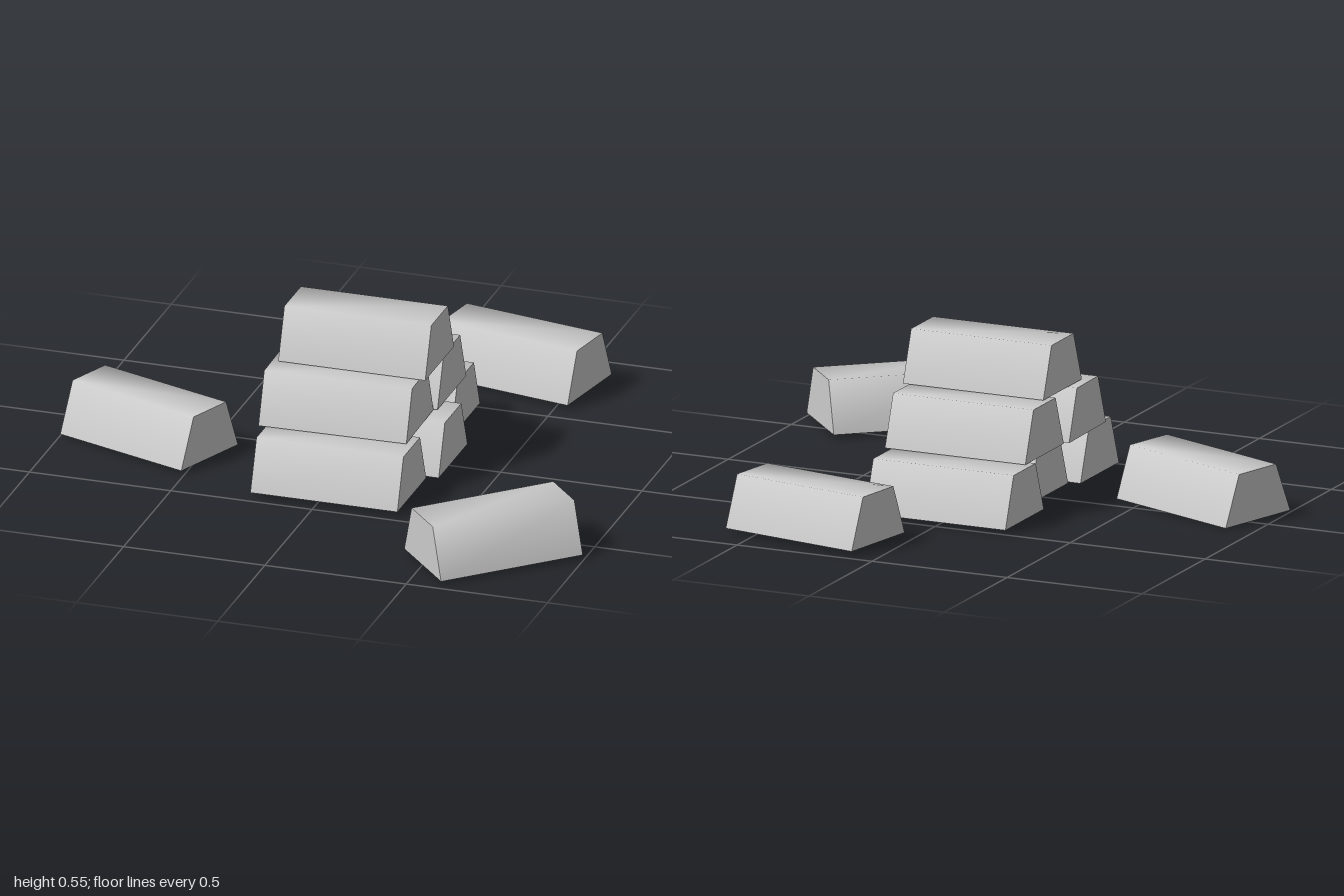
import * as THREE from 'three';
import { toCreasedNormals } from 'three/addons/utils/BufferGeometryUtils.js';

const LENGTH = 0.52, BASE = 0.305, TOP = 0.175, HEIGHT = 0.175;

// Trapezoid prism lying along x, resting on y = 0; soft upper edges, crisp ends and base
function barGeometry() {
  const profile = new THREE.Shape([
    new THREE.Vector2(-BASE / 2, 0),
    new THREE.Vector2(BASE / 2, 0),
    new THREE.Vector2(TOP / 2, HEIGHT),
    new THREE.Vector2(-TOP / 2, HEIGHT),
  ]);
  const geometry = new THREE.ExtrudeGeometry(profile, { depth: LENGTH, bevelEnabled: false });
  geometry.translate(0, 0, -LENGTH / 2).rotateY(Math.PI / 2);
  return toCreasedNormals(geometry, 1.3);
}

// name, base centre [x, y, z], yaw, tilt about the bar's own x and z
const BARS = [
  ['bottomBarFront', [0.03, 0.02, 0.313]],
  ['bottomBarMiddle', [0.07, 0.02, -0.005]],
  ['bottomBarBack', [0, 0.02, -0.347]],
  ['middleBarFront', [0.005, 0.2, 0.157], 0.02],
  ['middleBarBack', [0.015, 0.2, -0.157]],
  ['topBar', [0.03, 0.38, 0.018]],
  ['looseBarLeft', [-0.703, 0.01, 0.122], -0.352, -0.02, 0.01],
  ['looseBarFront', [0.7, 0.016, 0.674], 0.74, 0, 0.012],
  ['looseBarBack', [0.318, 0.02, -0.77], -0.185],
];

export function createModel() {
  const model = new THREE.Group();
  model.name = 'barPile';
  const geometry = barGeometry();
  const material = new THREE.MeshStandardMaterial({ color: 0xcccccc });
  for (const [name, position, yaw = 0, tiltX = 0, tiltZ = 0] of BARS) {
    const bar = new THREE.Mesh(geometry, material);
    bar.name = name;
    bar.position.set(...position);
    bar.rotation.set(tiltX, yaw, tiltZ, 'YXZ');
    model.add(bar);
  }
  return model;
}
